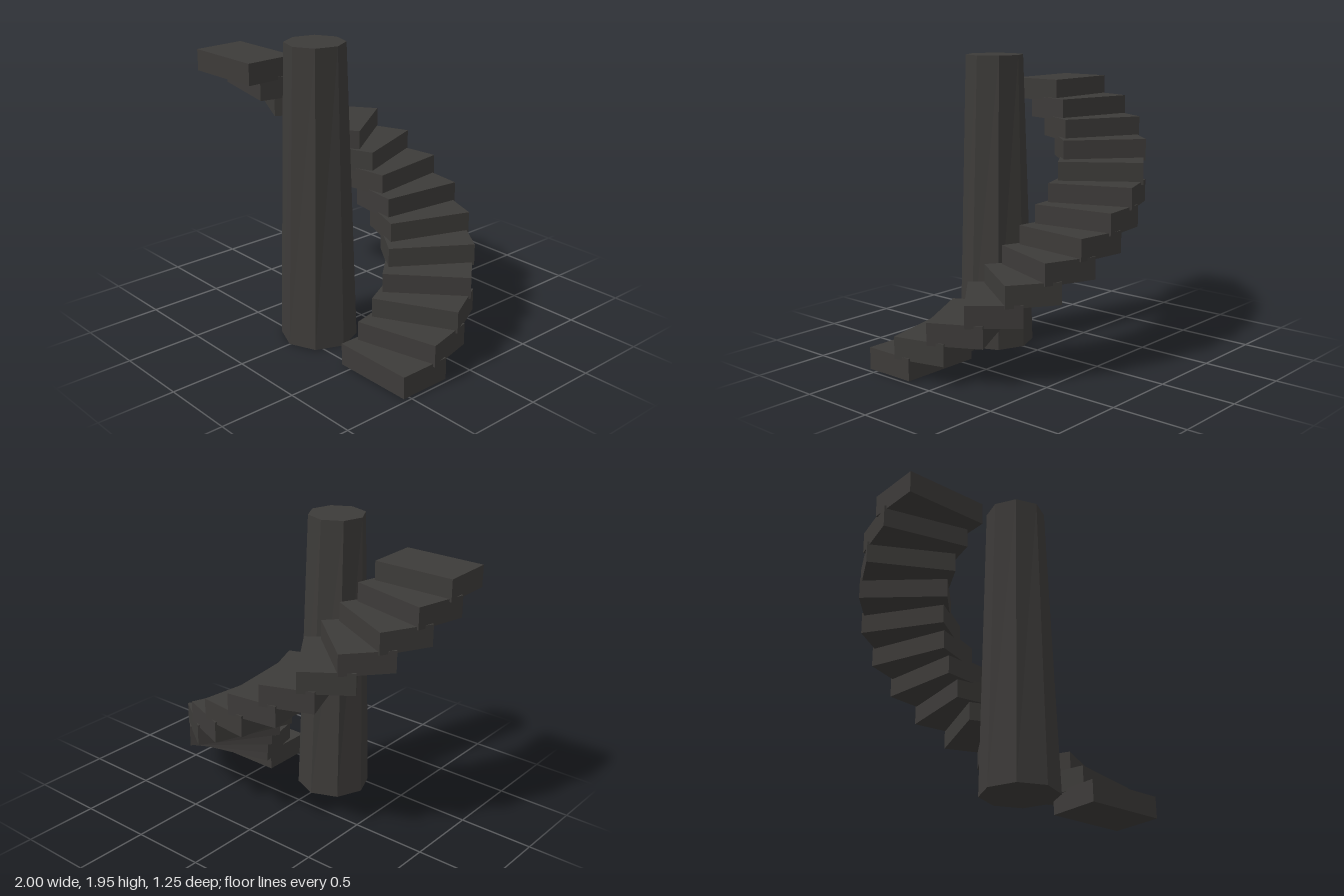
import * as THREE from 'three';

const CX = -0.003, CZ = 0.372;          // axis of the spiral and the pillar
const STEPS = 14;
const TURN = THREE.MathUtils.degToRad(13.92); // angle between steps
const RISE = 0.1238;                    // height between steps

export function createModel() {
  const model = new THREE.Group();
  model.name = 'spiralStaircase';
  const stone = new THREE.MeshStandardMaterial({ color: 0x3d3b39, flatShading: true });

  // Tapered eight-sided pillar whose top is twisted slightly
  const height = 1.945, twist = THREE.MathUtils.degToRad(6);
  const pillarGeo = new THREE.CylinderGeometry(0.19, 0.247, height, 8).toNonIndexed();
  const pos = pillarGeo.attributes.position;
  const v = new THREE.Vector3(), up = new THREE.Vector3(0, 1, 0);
  for (let i = 0; i < pos.count; i++) {
    v.fromBufferAttribute(pos, i);
    v.applyAxisAngle(up, twist * (v.y / height + 0.5));
    pos.setXYZ(i, v.x, v.y, v.z);
  }
  pillarGeo.computeVertexNormals();
  const pillar = new THREE.Mesh(pillarGeo, stone);
  pillar.name = 'pillar';
  pillar.position.set(CX, height / 2, CZ);
  model.add(pillar);

  // Overlapping block steps climbing half a turn around the pillar
  const stairs = new THREE.Group();
  stairs.name = 'stairs';
  stairs.position.set(CX, 0, CZ);
  const stepGeo = new THREE.BoxGeometry(0.553, 0.143, 0.352);
  stepGeo.translate(0.708, 0, 0);
  for (let i = 0; i < STEPS; i++) {
    const step = new THREE.Mesh(stepGeo, stone);
    step.name = `step${i + 1}`;
    step.position.y = 0.079 + i * RISE;
    step.rotation.y = i * TURN;
    stairs.add(step);
  }
  model.add(stairs);
  return model;
}
